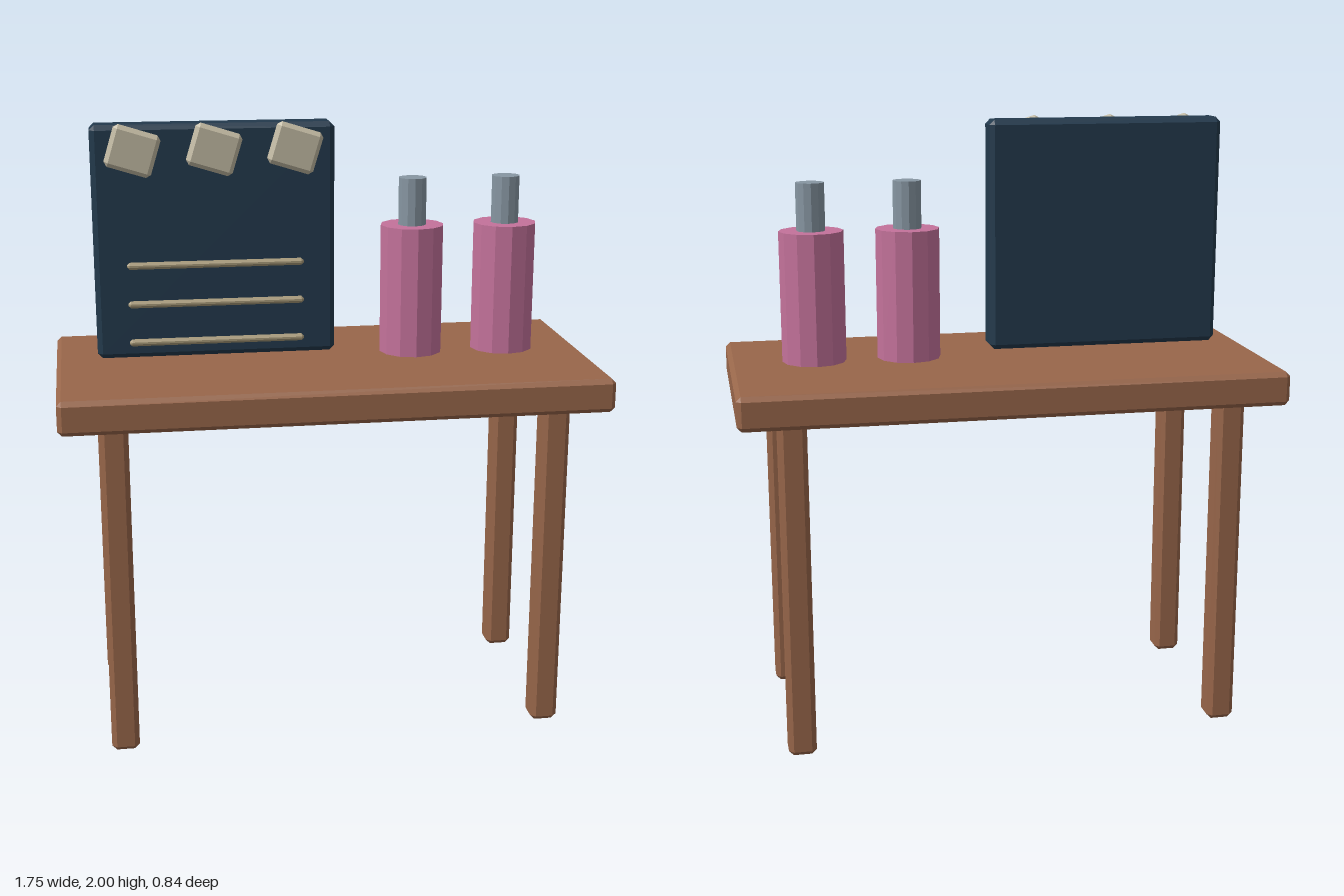
import * as THREE from 'three';
import { ConvexGeometry } from 'three/addons/geometries/ConvexGeometry.js';

const material = (name, color) => {
  const m = new THREE.MeshStandardMaterial({ color, flatShading: true });
  m.name = name;
  return m;
};

// Box with every edge cut at 45 degrees
function chamferBox(w, h, d, c) {
  const points = [];
  for (const sx of [-1, 1]) for (const sy of [-1, 1]) for (const sz of [-1, 1]) {
    const x = w / 2, y = h / 2, z = d / 2;
    points.push(
      new THREE.Vector3(sx * x, sy * (y - c), sz * (z - c)),
      new THREE.Vector3(sx * (x - c), sy * y, sz * (z - c)),
      new THREE.Vector3(sx * (x - c), sy * (y - c), sz * z)
    );
  }
  return new ConvexGeometry(points);
}

export function createModel() {
  const group = new THREE.Group();
  const wood = material('brown wood', 0x98664a);
  const navy = material('navy board', 0x22394c);
  const pink = material('pink bottle', 0xc4729b);
  const grey = material('grey cap', 0x8796a2);
  const cream = material('cream paper', 0xc2baa3);
  const tan = material('tan line', 0xa89a7a);

  const add = (name, geometry, mat, x, y, z) => {
    const mesh = new THREE.Mesh(geometry, mat);
    mesh.name = name;
    mesh.position.set(x, y, z);
    group.add(mesh);
    return mesh;
  };

  // Table
  add('tableTop', chamferBox(1.75, 0.11, 0.84, 0.015), wood, 0, 1.16, 0);
  const legGeometry = chamferBox(0.09, 1.11, 0.09, 0.016);
  for (const x of [-0.705, 0.705]) for (const z of [-0.305, 0.305])
    add('tableLeg', legGeometry, wood, x, 0.555, z);

  // Standing board with tilted notes and raised lines
  add('board', chamferBox(0.77, 0.745, 0.1, 0.016), navy, -0.355, 1.62, 0);
  const noteGeometry = chamferBox(0.152, 0.136, 0.034, 0.013);
  for (const x of [-0.61, -0.355, -0.1])
    add('note', noteGeometry, cream, x, 1.915, 0.07).rotation.z = -0.3;
  const lineGeometry = chamferBox(0.565, 0.022, 0.022, 0.008);
  for (const y of [1.3, 1.425, 1.55])
    add('boardLine', lineGeometry, tan, -0.355, y, 0.055);

  // Bottles
  const bodyGeometry = new THREE.CylinderGeometry(0.104, 0.104, 0.423, 12);
  const capGeometry = new THREE.CylinderGeometry(0.046, 0.046, 0.155, 12);
  for (const x of [0.293, 0.603]) {
    add('bottleBody', bodyGeometry, pink, x, 1.4395, 0);
    add('bottleCap', capGeometry, grey, x, 1.7265, 0);
  }
  return group;
}
